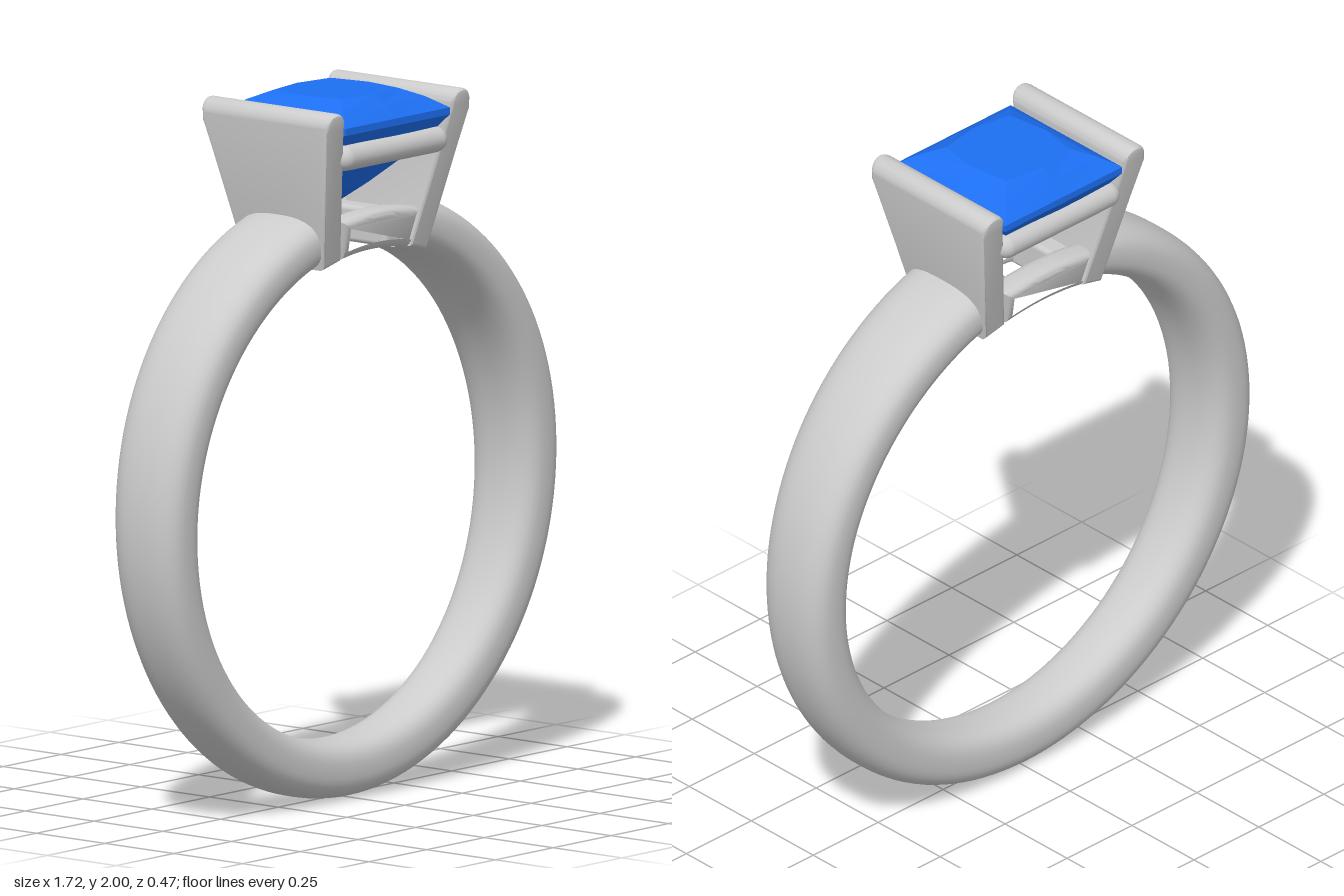
import * as THREE from 'three';
import { toCreasedNormals } from 'three/addons/utils/BufferGeometryUtils.js';
import { ParametricGeometry } from 'three/addons/geometries/ParametricGeometry.js';
import { RoundedBoxGeometry } from 'three/addons/geometries/RoundedBoxGeometry.js';

const CENTRE_Y = 0.86;

// Moves every vertex by a rule.
function warp(geometry, rule) {
  const p = geometry.attributes.position, v = new THREE.Vector3();
  for (let i = 0; i < p.count; i++) {
    rule(v.fromBufferAttribute(p, i));
    p.setXYZ(i, v.x, v.y, v.z);
  }
  return toCreasedNormals(geometry, 0.6);
}

// Open band with a rounded section that widens towards the top.
function bandGeometry() {
  const gap = 0.26;
  const soft = (t) => Math.sign(t) * Math.pow(Math.abs(t), 0.75);
  return new ParametricGeometry((u, v, target) => {
    const a = gap + u * 2 * (Math.PI - gap), s = v * Math.PI * 2;
    const r = 0.777 + 0.082 * soft(Math.cos(s));
    const y = CENTRE_Y + r * Math.cos(a);
    const halfWidth = 0.09 + 0.035 * (CENTRE_Y + 0.777 * Math.cos(a));
    target.set(r * Math.sin(a), y, -halfWidth * soft(Math.sin(s)));
  }, 128, 40);
}

// Leaning plate with a round top; it flares in z towards the top.
function plateGeometry() {
  const shape = new THREE.Shape();
  shape.moveTo(0.15, 1.55);
  shape.lineTo(0.226, 1.53);
  shape.lineTo(0.312, 1.945);
  shape.absarc(0.271, 1.95, 0.041, -0.15, Math.PI + 0.15, false);
  shape.closePath();
  const g = new THREE.ExtrudeGeometry(shape, {
    depth: 1.88, bevelThickness: 0.06, bevelSize: 0.012, bevelOffset: -0.012,
    bevelSegments: 3, curveSegments: 12,
  }).translate(0, 0, -0.94);
  return warp(g, (v) => { v.z *= 0.145 + (v.y - 1.54) * 0.205; });
}

// Curved bar that bridges the gap in the band, leaning outwards.
function bridgeGeometry() {
  const shape = new THREE.Shape();
  const from = Math.PI / 2 - 0.215, to = Math.PI / 2 + 0.215;
  shape.absarc(0, CENTRE_Y, 0.7, to, from, true);
  shape.lineTo(0.165, 1.662);
  shape.quadraticCurveTo(0, 1.695, -0.165, 1.662);
  shape.closePath();
  const g = new THREE.ExtrudeGeometry(shape, {
    depth: 0.03, bevelThickness: 0.03, bevelSize: 0.025, bevelOffset: -0.025,
    bevelSegments: 5, curveSegments: 16,
  }).translate(0, 0, 0.105);
  return warp(g, (v) => { v.z += (v.y - 1.62) * 0.25; });
}

// Square-cut stone: stacked loops of [height, side distance, corner distance].
function gemGeometry() {
  const loops = [
    [2.0, 0, 0], [2.0, 0.142, 0.122], [1.975, 0.182, 0.176],
    [1.942, 0.225, 0.225], [1.922, 0.225, 0.225],
    [1.87, 0.193, 0.186], [1.8, 0.152, 0.128],
    [1.735, 0.085, 0.064], [1.678, 0, 0],
  ];
  const point = ([y, side, corner], k) => {
    const a = (k * Math.PI) / 4;
    const d = k % 2 ? corner * Math.SQRT2 : side;
    return [d * Math.cos(a), y, d * Math.sin(a)];
  };
  const pos = [];
  for (let i = 0; i < loops.length - 1; i++) {
    for (let k = 0; k < 8; k++) {
      const a = point(loops[i], k), b = point(loops[i], k + 1);
      const c = point(loops[i + 1], k + 1), d = point(loops[i + 1], k);
      if (loops[i][1] > 0) pos.push(...a, ...b, ...c);
      if (loops[i + 1][1] > 0) pos.push(...a, ...c, ...d);
    }
  }
  const g = new THREE.BufferGeometry();
  g.setAttribute('position', new THREE.Float32BufferAttribute(pos, 3));
  g.computeVertexNormals();
  return g;
}

export function createModel() {
  const model = new THREE.Group();
  const metal = new THREE.MeshStandardMaterial({ color: 0xcccccc });
  const stone = new THREE.MeshStandardMaterial({ color: 0x1d6ff2, flatShading: true });
  const add = (name, geometry, material = metal) => {
    const mesh = new THREE.Mesh(geometry, material);
    mesh.name = name;
    model.add(mesh);
    return mesh;
  };

  add('band', bandGeometry());
  add('gemstone', gemGeometry(), stone);

  // Setting: two plates, two bridges, two rails and the basket sides.
  const plate = plateGeometry(), bridge = bridgeGeometry();
  const rail = new THREE.CapsuleGeometry(0.037, 0.386, 8, 20).rotateZ(Math.PI / 2);
  const basketSide = new RoundedBoxGeometry(0.07, 0.105, 0.22, 3, 0.015);
  for (const [side, turn] of [[1, 0], [-1, Math.PI]]) {
    const left = side > 0;
    add(left ? 'leftPlate' : 'rightPlate', plate).rotation.y = turn;
    add(left ? 'leftBasketSide' : 'rightBasketSide', basketSide).position.set(side * 0.118, 1.604, 0);
    add(left ? 'frontBridge' : 'backBridge', bridge).rotation.y = turn;
    add(left ? 'frontRail' : 'backRail', rail).position.set(0, 1.853, side * 0.195);
  }
  return model;
}
